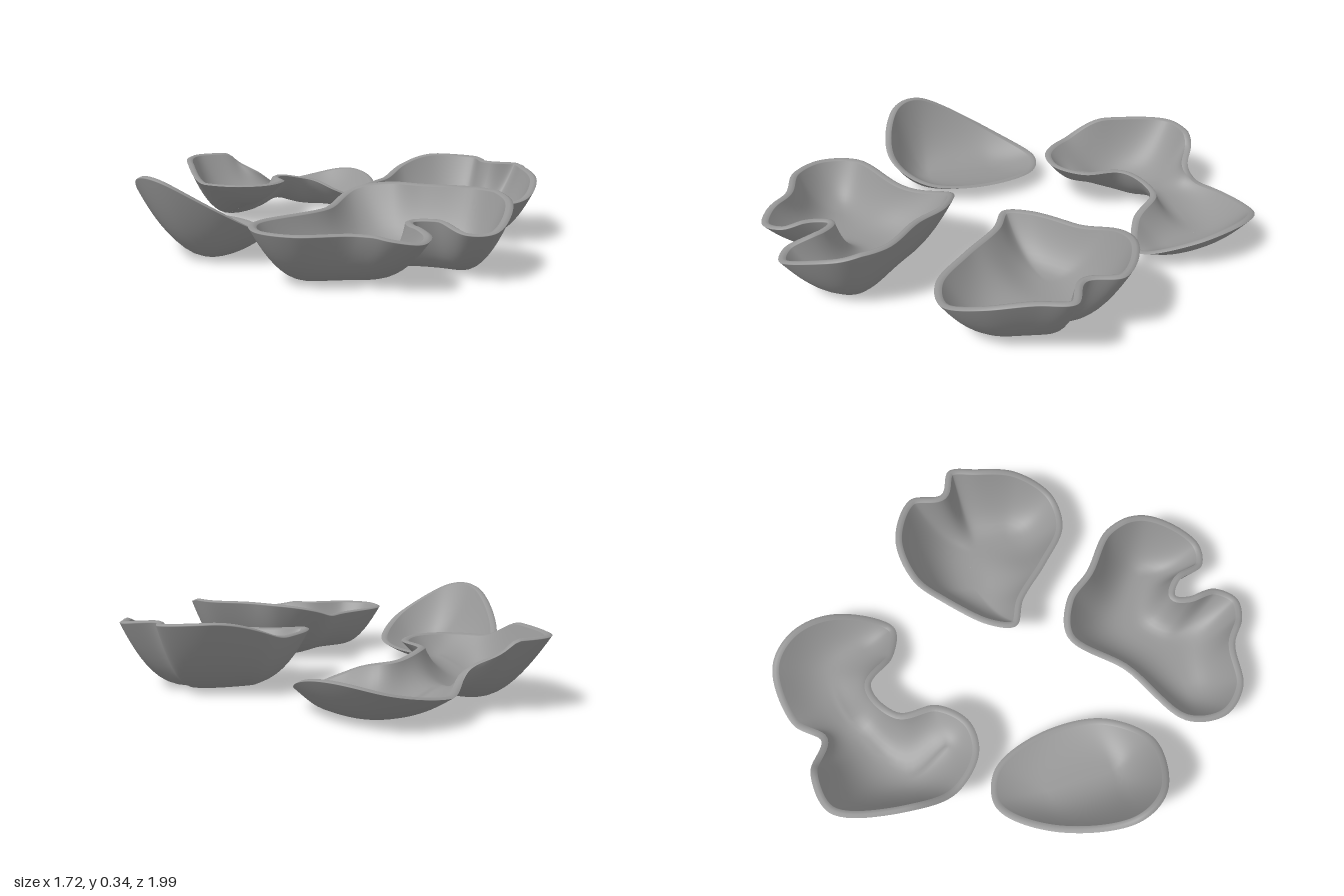
import * as THREE from 'three';

const AROUND = 144; // samples around each rim
const ROWS = 14; // rows from floor to rim
const WALL = 0.028; // shell thickness
const { smoothstep } = THREE.MathUtils;

const vectors = (points) => points.map(([x, z]) => new THREE.Vector3(x, 0, z));
const distance = (a, b) => Math.hypot(a.x - b.x, a.z - b.z);

// Even out points around a closed loop
function soften(loop, passes) {
  let points = loop;
  const n = loop.length;
  for (let pass = 0; pass < passes; pass++) {
    points = points.map((p, j) => points[(j + n - 1) % n].clone().add(points[(j + 1) % n]).multiplyScalar(0.5).lerp(p, 0.5));
  }
  return points;
}

// For every rim point, the nearest spine point, as a smooth position along the spine
function spineFeet(rim, spine) {
  const line = new THREE.CatmullRomCurve3(vectors(spine)).getPoints(80);
  const steps = rim.map((p) => {
    let best = 0;
    line.forEach((q, k) => { if (distance(p, q) < distance(p, line[best])) best = k; });
    return new THREE.Vector2(best, 0);
  });
  return soften(steps, 30).map((v) => {
    const k = Math.min(Math.floor(v.x), line.length - 2);
    return line[k].clone().lerp(line[k + 1], v.x - k);
  });
}

// Thin open bowl: outer skin from spine to rim, rounded lip, inner skin back to spine.
// rim runs clockwise from above; steep is the exponent of the wall profile.
function shellGeometry({ rim, spine, steep, height, floor }) {
  const curve = new THREE.CatmullRomCurve3(vectors(rim), true);
  const outer = [];
  const inner = [];
  for (let j = 0; j < AROUND; j++) {
    const p = curve.getPoint(j / AROUND);
    const d = curve.getTangent(j / AROUND);
    p.y = height(p.x, p.z);
    outer.push(p);
    inner.push(new THREE.Vector3(p.x - d.z * WALL, p.y, p.z + d.x * WALL));
  }
  const feet = spineFeet(outer, spine);
  const positions = [];
  // Dents in the rim fade out towards the floor
  const addRow = (edge, soft, row, lift) => {
    const r = 1 - (1 - row / ROWS) ** 2;
    edge.forEach((rimPoint, j) => {
      const f = feet[j];
      const e = soft[j].clone().lerp(rimPoint, r ** 3);
      const base = floor(f.x, f.z) + lift;
      positions.push(f.x + (e.x - f.x) * r, base + (e.y - base) * r ** steep, f.z + (e.z - f.z) * r);
    });
  };
  const softOuter = soften(outer, 24);
  const softInner = soften(inner, 24);
  for (let i = 0; i <= ROWS; i++) addRow(outer, softOuter, i, 0);
  outer.forEach((p, j) => {
    const q = inner[j];
    positions.push((p.x + q.x) / 2, p.y + 0.006, (p.z + q.z) / 2);
  });
  for (let i = ROWS; i >= 0; i--) addRow(inner, softInner, i, WALL);

  const rows = 2 * ROWS + 3;
  const index = [];
  for (let i = 0; i < rows - 1; i++) {
    for (let j = 0; j < AROUND; j++) {
      const a = i * AROUND + j;
      const b = i * AROUND + ((j + 1) % AROUND);
      index.push(a, a + AROUND, b, b, a + AROUND, b + AROUND);
    }
  }
  const geometry = new THREE.BufferGeometry();
  geometry.setAttribute('position', new THREE.Float32BufferAttribute(positions, 3));
  geometry.setIndex(index);
  geometry.computeVertexNormals();
  // Level normals along the spine, where the rows close up
  const normal = geometry.attributes.normal;
  for (let j = 0; j < AROUND; j++) {
    normal.setXYZ(j, 0, -1, 0);
    normal.setXYZ((rows - 1) * AROUND + j, 0, 1, 0);
  }
  return geometry;
}

export function createModel() {
  const group = new THREE.Group();
  group.name = 'shellPieces';
  const material = new THREE.MeshStandardMaterial({ color: 0x969696, side: THREE.DoubleSide });
  const addShell = (name, shape) => {
    const mesh = new THREE.Mesh(shellGeometry(shape), material);
    mesh.name = name;
    group.add(mesh);
  };

  // Arched piece: tall lobe with a raised tip, and a low lobe, joined by a bridge
  addShell('backShell', {
    rim: [
      [0.05, -1], [0.24, -0.94], [0.33, -0.83], [0.5, -0.87], [0.74, -0.77], [0.8, -0.6],
      [0.74, -0.4], [0.55, -0.25], [0.42, -0.36], [0.37, -0.52], [0.19, -0.52], [0.1, -0.38],
      [-0.05, -0.33], [-0.18, -0.4], [-0.235, -0.6], [-0.13, -0.83],
    ],
    spine: [[-0.04, -0.47], [0, -0.66], [0.32, -0.69], [0.57, -0.6], [0.57, -0.42]],
    steep: 2.2,
    height: (x, z) => {
      const low = smoothstep(x, 0.2, 0.4);
      const tall = 0.195 + 0.075 * smoothstep(-z, 0.55, 0.78);
      return tall * (1 - low) + (0.17 - 0.9 * (z + 0.6) ** 2) * low;
    },
    floor: (x, z) => 0.01 + 0.05 * Math.exp(-(((x - 0.3) / 0.13) ** 2))
      + 0.1 * smoothstep(z, -0.72, -0.4) * (1 - smoothstep(x, 0.1, 0.3)),
  });

  // Oval dish, curling up at its outer end
  addShell('leftShell', {
    rim: [
      [-0.37, -0.49], [-0.25, -0.38], [-0.27, -0.13], [-0.42, 0.11],
      [-0.64, 0.175], [-0.83, 0.02], [-0.84, -0.16], [-0.62, -0.4],
    ],
    spine: [[-0.6, -0.02], [-0.47, -0.28]],
    steep: 2.2,
    height: (x) => 0.075 + 0.265 * Math.max(0, (-x - 0.24) / 0.62) ** 2.1,
    floor: () => 0.01,
  });

  // Deep bowl with a notch in its front edge
  addShell('frontShell', {
    rim: [
      [-0.08, 0.22], [0.04, 0.34], [0.07, 0.49], [0.15, 0.7], [0.09, 0.88], [-0.15, 0.99],
      [-0.245, 0.92], [-0.23, 0.78], [-0.265, 0.715], [-0.31, 0.755], [-0.36, 0.87], [-0.46, 0.91],
      [-0.54, 0.85], [-0.6, 0.73], [-0.75, 0.61], [-0.785, 0.46], [-0.68, 0.32], [-0.34, 0.3],
    ],
    spine: [[-0.54, 0.5], [-0.4, 0.56], [-0.2, 0.54], [-0.05, 0.74]],
    steep: 2.7,
    height: (x, z) => 0.2 + 0.075 * smoothstep(x, -0.3, 0.1) - 0.2 * Math.max(0, z - 0.8),
    floor: () => 0.005,
  });

  // Deep bowl with a dented outer edge and a pointed corner
  addShell('rightShell', {
    rim: [
      [0.58, -0.08], [0.76, -0.01], [0.865, 0.17], [0.79, 0.29], [0.86, 0.4], [0.78, 0.5],
      [0.65, 0.635], [0.48, 0.69], [0.33, 0.61], [0.25, 0.42], [0.19, 0.22], [0.12, 0.11],
      [0.2, 0.03], [0.42, -0.045],
    ],
    spine: [[0.44, 0.15], [0.58, 0.27], [0.52, 0.43]],
    steep: 2.6,
    height: (x, z) => 0.21 - 0.05 * z + 0.09 * smoothstep(x, 0.38, 0.78),
    floor: () => 0.005,
  });
  return group;
}
